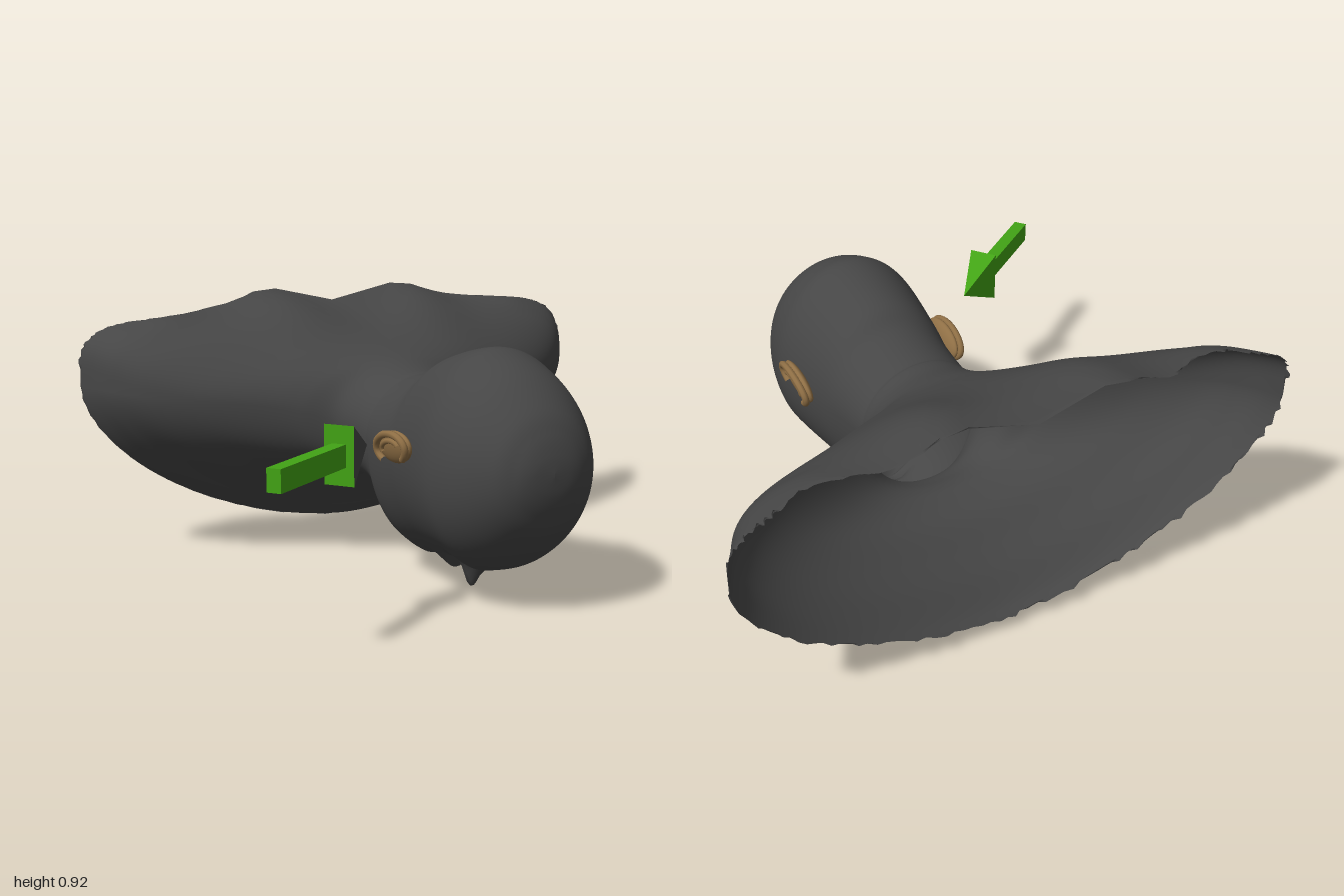
import * as THREE from 'three';

// Body sections down the z axis: z, top, bottom, half width, height of widest point
const SECTIONS = [
  [0.757, 0.485, 0.475, 0, 0.48],
  [0.75, 0.54, 0.41, 0.075, 0.48],
  [0.73, 0.605, 0.345, 0.13, 0.47],
  [0.69, 0.675, 0.27, 0.185, 0.47],
  [0.6, 0.76, 0.18, 0.245, 0.46],
  [0.5, 0.812, 0.125, 0.275, 0.45],
  [0.4, 0.83, 0.118, 0.28, 0.45],
  [0.2, 0.78, 0.112, 0.25, 0.45],
  [0.1, 0.72, 0.1, 0.235, 0.46],
  [-0.04, 0.685, 0.1, 0.224, 0.47],
  [-0.075, 0.686, 0.18, 0.222, 0.48],
  [-0.13, 0.69, 0.25, 0.235, 0.5],
  [-0.2, 0.71, 0.285, 0.28, 0.52],
  [-0.25, 0.725, 0.3, 0.375, 0.55],
  [-0.3, 0.745, 0.3, 0.475, 0.57],
  [-0.4, 0.785, 0.275, 0.68, 0.59],
  [-0.5, 0.82, 0.2, 0.83, 0.6],
  [-0.6, 0.845, 0.125, 0.92, 0.61],
  [-0.69, 0.858, 0.075, 0.97, 0.62],
  [-0.74, 0.865, 0.06, 1, 0.62],
];

// Face relief pushed down from the lower surface
const FACE = {
  noseTip: { x: 0, z: 0.262, sx: 0.032, sz: 0.035, depth: 0.098 },
  noseBridge: { x: 0, z: 0.32, sx: 0.03, sz: 0.05, depth: 0.05 },
  eyeSocket: { x: 0.09, z: 0.375, sx: 0.05, sz: 0.032, depth: -0.05 },
  brow: { x: 0.08, z: 0.44, sx: 0.08, sz: 0.03, depth: 0.012 },
  upperLip: { x: 0, z: 0.165, sx: 0.06, sz: 0.017, depth: 0.063 },
  lowerLip: { x: 0, z: 0.125, sx: 0.05, sz: 0.016, depth: 0.045 },
  chin: { x: 0, z: 0.02, sx: 0.08, sz: 0.05, depth: 0.026 },
};

// Smooth curve through every column of the rows
function spline(rows, t) {
  const s = t * (rows.length - 1);
  const i = Math.min(Math.floor(s), rows.length - 2), f = s - i;
  const row = k => rows[Math.max(0, Math.min(rows.length - 1, k))];
  return rows[0].map((_, c) => {
    const a = row(i - 1)[c], b = row(i)[c], d = row(i + 1)[c], e = row(i + 2)[c];
    return b + 0.5 * f * (d - a + f * (2 * a - 5 * b + 4 * d - e + f * (3 * (b - d) + e - a)));
  });
}

const gauss = (d, s) => Math.exp(-(d * d) / (s * s));
const power = (v, n) => Math.sign(v) * Math.pow(Math.abs(v), 2 / n);

function seeded(seed) {
  return () => (seed = (seed * 16807) % 2147483647) / 2147483647;
}

function bodyGeometry() {
  const rings = 176, sides = 160, pos = [], index = [];
  const random = seeded(29);
  const { smoothstep } = THREE.MathUtils;

  for (let i = 0; i <= rings; i++) {
    const [z, top, bottom, w, mid] = spline(SECTIONS, i / rings);
    const back = smoothstep(-z, 0.22, 0.7);
    const cut = smoothstep(-z, 0.55, 0.74);
    // shoulders are squarer above and flatter below than the head
    const nTop = 2 + 2.5 * smoothstep(-z, 0.35, 0.74);
    const nBottom = 2.1 - 0.35 * smoothstep(-z, 0.3, 0.6);
    for (let j = 0; j < sides; j++) {
      const a = (j / sides) * Math.PI * 2;
      const c = Math.cos(a), s = Math.sin(a);
      const upper = c >= 0, n = upper ? nTop : nBottom;
      const x = w * power(s, n);
      let y = mid + power(c, n) * (upper ? top - mid : mid - bottom);
      if (upper) {
        // shoulder blades either side of the spine
        y += back * 0.06 * gauss(Math.abs(x) - 0.26, 0.16) * Math.min(1, c * 2);
      } else {
        const facing = Math.min(1, -c * 1.6);
        for (const f of Object.values(FACE))
          y -= facing * f.depth * gauss(Math.abs(x) - f.x, f.sx) * gauss(z - f.z, f.sz);
      }
      // torn rim: longest at the back, shorter at the chest, notched over the shoulders
      const notch = upper ? 0.075 * gauss(Math.abs(x) - 0.7, 0.13) * Math.min(1, c * 2) : 0;
      const rim = notch - (upper ? 0.022 : 0.05) * c;
      const tear = i === rings ? (random() - 0.5) * 0.03 : 0;
      pos.push(x, y, z + cut * rim + tear);
    }
  }
  for (let i = 0; i < rings; i++)
    for (let j = 0; j < sides; j++) {
      const k = (j + 1) % sides;
      const a = i * sides + j, b = i * sides + k, c = a + sides, d = b + sides;
      index.push(a, b, c, b, d, c);
    }
  const g = new THREE.BufferGeometry();
  g.setAttribute('position', new THREE.Float32BufferAttribute(pos, 3));
  g.setIndex(index);
  g.computeVertexNormals();
  return g;
}

// Oval ear: a shallow bowl with a raised rim and an inner fold
function makeEar(side, material) {
  const ear = new THREE.Group();
  ear.name = side > 0 ? 'leftEar' : 'rightEar';
  const add = (name, geometry) => {
    const m = new THREE.Mesh(geometry, material);
    m.name = name;
    ear.add(m);
    return m;
  };
  const arc = (rz, ry, from, to) => {
    const pts = [];
    for (let i = 0; i <= 16; i++) {
      const a = from + ((to - from) * i) / 16;
      pts.push(new THREE.Vector3(side * 0.02, ry * Math.sin(a), rz * Math.cos(a)));
    }
    return new THREE.CatmullRomCurve3(pts);
  };
  add('earBowl', new THREE.SphereGeometry(1, 28, 18)).scale.set(0.022, 0.055, 0.1);
  add('earRim', new THREE.TubeGeometry(arc(0.094, 0.05, -0.9, 3.9), 48, 0.012, 8));
  add('earFold', new THREE.TubeGeometry(arc(0.055, 0.026, 0.2, 3.4), 32, 0.009, 8));
  ear.position.set(side * 0.288, 0.512, 0.272);
  ear.rotation.set(-0.2, 0, -side * 0.22);
  return ear;
}

function triangles(corners, faces) {
  const g = new THREE.BufferGeometry();
  g.setAttribute('position', new THREE.Float32BufferAttribute(faces.flat().flatMap(i => corners[i]), 3));
  g.computeVertexNormals();
  return g;
}

function makeArrow(green, grey) {
  const arrow = new THREE.Group();
  arrow.name = 'arrow';
  const shaft = new THREE.Mesh(new THREE.BoxGeometry(0.38, 0.07, 0.046), green);
  shaft.name = 'arrowShaft';
  shaft.position.x = 0.19;
  // four-sided point with a grey front face
  const x = 0.38, h = 0.092, d = 0.05;
  const corners = [[x, h, d], [x, -h, d], [x, -h, -d], [x, h, -d], [0.56, 0, 0]];
  const point = new THREE.Mesh(
    triangles(corners, [[0, 4, 3], [3, 4, 2], [2, 4, 1], [0, 3, 2], [0, 2, 1]]), green);
  point.name = 'arrowPoint';
  const face = new THREE.Mesh(triangles(corners, [[0, 1, 4]]), grey);
  face.name = 'arrowPointFront';
  arrow.add(shaft, point, face);
  arrow.position.set(-0.92, 0.562, 0.745);
  arrow.rotation.y = 0.623;
  return arrow;
}

export function createModel() {
  const material = (name, color) => {
    const m = new THREE.MeshStandardMaterial({ color });
    m.name = name;
    return m;
  };
  const grey = material('dark grey', 0x464646);
  grey.side = THREE.DoubleSide;
  const brown = material('ear brown', 0x8f6f45);
  const green = material('arrow green', 0x42a315);

  const model = new THREE.Group();
  model.name = 'bust';
  const body = new THREE.Mesh(bodyGeometry(), grey);
  body.name = 'headNeckAndShoulders';
  model.add(body, makeEar(1, brown), makeEar(-1, brown), makeArrow(green, grey));
  return model;
}
